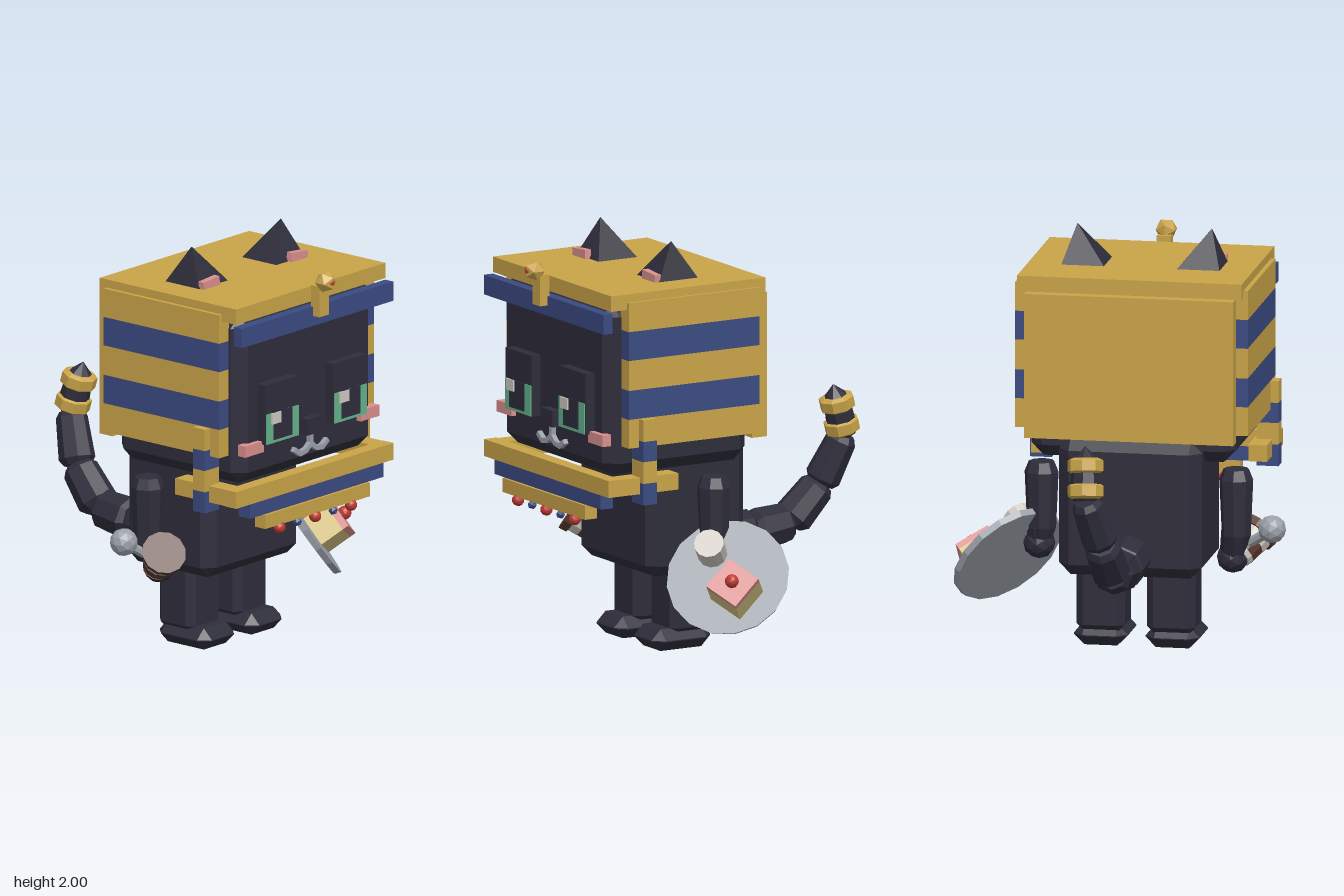
import * as THREE from 'three';
import { ConvexGeometry } from 'three/addons/geometries/ConvexGeometry.js';

const mat = (name, color) => {
  const m = new THREE.MeshStandardMaterial({ color });
  m.name = name;
  return m;
};
const V = (x, y, z) => new THREE.Vector3(x, y, z);
const CX = -0.085; // symmetry plane of the figure

export function createModel() {
  const fur = mat('dark fur', 0x2e2d3b), gold = mat('gold', 0xc9a449), blue = mat('blue', 0x3b4b82);
  const pink = mat('pink', 0xda908d), green = mat('green', 0x64b48b), white = mat('cream white', 0xcfcac2);
  const grey = mat('grey', 0x9ba0a9), brown = mat('brown', 0x5c3a2e), red = mat('red', 0xbb3a30);
  const sponge = mat('sponge yellow', 0xd8c483);

  const model = new THREE.Group();
  model.name = 'catFigure';
  const group = (name, parent = model) => {
    const g = new THREE.Group();
    g.name = name;
    parent.add(g);
    return g;
  };
  const add = (name, geo, material, parent) => {
    const mesh = new THREE.Mesh(geo, material);
    mesh.name = name;
    parent.add(mesh);
    return mesh;
  };
  const flat = (geo) => {
    const g = geo.index ? geo.toNonIndexed() : geo;
    g.computeVertexNormals();
    return g;
  };
  // Box given by its limits on each axis
  const box = (name, m, p, x0, x1, y0, y1, z0, z1) => {
    const mesh = add(name, new THREE.BoxGeometry(x1 - x0, y1 - y0, z1 - z0), m, p);
    mesh.position.set((x0 + x1) / 2, (y0 + y1) / 2, (z0 + z1) / 2);
    return mesh;
  };
  // Box with all edges chamfered by c
  const chamferBox = (name, m, p, x0, x1, y0, y1, z0, z1, c) => {
    const h = [(x1 - x0) / 2, (y1 - y0) / 2, (z1 - z0) / 2], pts = [];
    for (const sx of [-1, 1]) for (const sy of [-1, 1]) for (const sz of [-1, 1]) {
      for (let k = 0; k < 3; k++) {
        const q = h.map((v, i) => (i === k ? v : v - c));
        pts.push(V(q[0] * sx, q[1] * sy, q[2] * sz));
      }
    }
    const mesh = add(name, new ConvexGeometry(pts), m, p);
    mesh.position.set((x0 + x1) / 2, (y0 + y1) / 2, (z0 + z1) / 2);
    return mesh;
  };
  // Faceted rod between two points, with bevelled ends
  const rod = (name, m, p, a, b, ra, rb, bevel = 0.03, sides = 8) => {
    const len = a.distanceTo(b);
    const profile = [[0, 0], [ra * 0.75, 0], [ra, bevel], [rb, len - bevel], [rb * 0.75, len], [0, len]];
    const geo = new THREE.LatheGeometry(profile.map(([r, y]) => new THREE.Vector2(r, y)), sides);
    const mesh = add(name, flat(geo), m, p);
    mesh.position.copy(a);
    mesh.quaternion.setFromUnitVectors(V(0, 1, 0), b.clone().sub(a).normalize());
    return mesh;
  };
  const ball = (name, m, p, x, y, z, r, detail = 1) => {
    const mesh = add(name, flat(new THREE.IcosahedronGeometry(r, detail)), m, p);
    mesh.position.set(x, y, z);
    return mesh;
  };

  // Body, legs and feet
  chamferBox('body', fur, model, -0.43, 0.26, 0.375, 1.04, -0.14, 0.405, 0.055);
  for (const s of [-1, 1]) {
    const x = CX + s * 0.17, f = CX + s * 0.173;
    chamferBox('leg', fur, model, x - 0.117, x + 0.117, 0.07, 0.42, 0.02, 0.245, 0.035);
    chamferBox('foot', fur, model, f - 0.13, f + 0.13, 0, 0.105, 0.02, 0.345, 0.05);
  }

  // Head
  const head = group('head');
  chamferBox('skull', fur, head, -0.58, 0.41, 0.93, 1.76, -0.06, 0.73, 0.06);
  for (const s of [-1, 1]) {
    // Ears: four-sided pyramids leaning outward
    const y = 1.81, xi = CX + s * 0.168, xo = CX + s * 0.385;
    add('ear', new ConvexGeometry([V(xi, y, 0.16), V(xo, y, 0.16), V(xo, y, 0.385), V(xi, y, 0.385),
      V(CX + s * 0.325, 2, 0.28)]), fur, head);
    const ex = CX + s * 0.32;
    const inner = box('innerEar', pink, head, ex - 0.058, ex + 0.058, 1.81, 1.86, 0.37, 0.403);
    inner.rotation.z = -s * 0.08;
    // Eyes: dark surround, iris, pupil and highlight
    const x = CX + s * 0.247;
    box('eyeSurround', fur, head, x - 0.119, x + 0.119, 1.12, 1.415, 0.7, 0.78);
    box('iris', green, head, x - 0.117, x + 0.117, 1.122, 1.27, 0.78, 0.786);
    box('pupil', fur, head, x - 0.07, x + 0.065, 1.137, 1.272, 0.785, 0.79);
    box('eyeHighlight', white, head, x - 0.088, x - 0.022, 1.218, 1.272, 0.788, 0.797);
    const cx = CX + s * 0.42;
    box('cheek', pink, head, cx - 0.067, cx + 0.067, 1.08, 1.135, 0.71, 0.757);
    // Mouth curve on each side
    const curve = [[0, 1.048], [0.035, 1.02], [0.08, 1.012], [0.12, 1.04]];
    for (let i = 0; i < 3; i++) {
      const [ax, ay] = curve[i], [bx, by] = curve[i + 1];
      const line = box('mouth', grey, head, -0.027, 0.027, -0.012, 0.012, 0.72, 0.755);
      line.position.x = CX + s * (ax + bx) / 2;
      line.position.y = (ay + by) / 2;
      line.rotation.z = s * Math.atan2(by - ay, bx - ax);
    }
  }
  box('nose', fur, head, CX - 0.055, CX + 0.055, 1.1, 1.18, 0.7, 0.775);
  box('mouthLine', grey, head, CX - 0.011, CX + 0.011, 1.035, 1.1, 0.72, 0.754);

  // Striped headdress
  const dress = group('headdress');
  box('headdressTop', gold, dress, -0.625, 0.46, 1.745, 1.82, -0.11, 0.745);
  box('headdressBack', gold, dress, -0.59, 0.42, 1.04, 1.74, -0.142, -0.06);
  box('browBand', blue, dress, -0.635, 0.465, 1.64, 1.735, 0.74, 0.79);
  for (const s of [-1, 1]) {
    const span = (a, b) => [CX + s * a, CX + s * b].sort((u, v) => u - v);
    const levels = [1.075, 1.215, 1.355, 1.5, 1.64, 1.78];
    for (let i = 0; i < 5; i++) {
      box('sideStripe', i % 2 ? blue : gold, dress, ...span(0.49, 0.562), levels[i], levels[i + 1], -0.067, 0.658);
    }
    const drop = [0.8, 0.905, 1.01, 1.108, 1.213];
    for (let i = 0; i < 4; i++) {
      box('lappet', i % 2 ? gold : blue, dress, ...span(0.495, 0.6), drop[i], drop[i + 1], 0.525, 0.6);
    }
    box('collarSide', gold, dress, ...span(0.48, 0.57), 0.85, 0.93, 0.388, 0.71);
  }

  // Collar with hanging beads
  box('collarFront', gold, dress, -0.66, 0.485, 0.85, 0.932, 0.705, 0.775);
  box('collarMiddle', blue, dress, -0.56, 0.41, 0.78, 0.85, 0.705, 0.775);
  box('collarLower', gold, dress, -0.465, 0.295, 0.712, 0.78, 0.725, 0.79);
  for (let i = 0; i < 5; i++) {
    ball('bead', i % 2 ? blue : red, dress, CX + (i - 2) * 0.13, 0.693, 0.775, i % 2 ? 0.023 : 0.03, i % 2 ? 0 : 1);
  }

  // Brow ornament
  box('ornamentStem', gold, dress, CX - 0.035, CX + 0.035, 1.69, 1.84, 0.78, 0.832);
  ball('ornament', gold, dress, CX, 1.86, 0.842, 0.055, 0).scale.y = 0.95;
  ball('ornamentGem', red, dress, CX, 1.862, 0.872, 0.02);

  // Arms and hands
  for (const s of [-1, 1]) {
    const x = CX + s * 0.47;
    rod('upperArm', fur, model, V(x, 0.5, 0.13), V(x, 0.87, 0.13), 0.07, 0.082, 0.05);
    const hand = s > 0 ? V(0.4, 0.47, 0.15) : V(-0.53, 0.43, 0.18);
    rod('forearm', fur, model, V(x, 0.58, 0.13), hand, 0.07, 0.065, 0.02);
    ball('hand', fur, model, hand.x, hand.y, hand.z, 0.078);
  }

  // Banded cup in the right hand, brim tipped forward and outward
  const cup = group('cup');
  cup.position.set(-0.55, 0.435, 0.185);
  cup.quaternion.setFromUnitVectors(V(0, 1, 0), V(-0.47, 0.6, 0.65).normalize());
  [[0, 0.025, 0.075, white], [0.025, 0.09, 0.082, brown], [0.09, 0.14, 0.09, white], [0.14, 0.18, 0.107, brown]]
    .forEach(([y0, y1, r, m]) => {
      add('cupBand', flat(new THREE.CylinderGeometry(r, r - 0.006, y1 - y0, 12)), m, cup).position.y = (y0 + y1) / 2;
    });
  ball('knob', grey, model, -0.728, 0.583, 0.13, 0.068);
  rod('knobStem', grey, model, V(-0.58, 0.48, 0.19), V(-0.72, 0.575, 0.135), 0.025, 0.025, 0.01);

  // Plate beside the left hand; local y is the plate's face
  const tray = group('plateWithTreats');
  const n = V(0.62, 0.57, 0.54).normalize();
  const b = V(0, -0.69, 0.73);
  b.addScaledVector(n, -b.dot(n)).normalize();
  const a = n.clone().cross(b);
  tray.quaternion.setFromRotationMatrix(new THREE.Matrix4().makeBasis(a, n, b));
  tray.position.set(0.55, 0.405, 0.15);
  const local = (x, y, z) => {
    const d = V(x, y, z).sub(tray.position);
    return [d.dot(a), d.dot(b)];
  };
  add('plate', flat(new THREE.CylinderGeometry(0.295, 0.285, 0.03, 16)), grey, tray);
  const [cx, cz] = local(0.74, 0.435, 0.245);
  box('cake', sponge, tray, cx - 0.09, cx + 0.09, 0.01, 0.14, cz - 0.088, cz + 0.088);
  box('icing', pink, tray, cx - 0.09, cx + 0.09, 0.14, 0.172, cz - 0.088, cz + 0.088);
  ball('berry', red, tray, cx, 0.188, cz, 0.034);
  const [mx, mz] = local(0.5, 0.555, 0.22);
  add('marshmallow', flat(new THREE.CylinderGeometry(0.072, 0.072, 0.13, 12)), white, tray).position.set(mx, 0.075, mz);

  // Tail of bevelled segments with two gold rings
  const tail = group('tail');
  const path = [V(CX, 0.48, -0.1), V(CX, 0.465, -0.36), V(CX, 0.49, -0.57), V(-0.065, 0.665, -0.73),
    V(-0.005, 0.9, -0.825), V(0.005, 1.09, -0.775)];
  const radii = [0.112, 0.108, 0.098, 0.088, 0.076, 0.066];
  for (let i = 0; i < 5; i++) {
    rod('tailSegment', fur, tail, path[i], path[i + 1], radii[i], radii[i + 1], 0.03);
  }
  const dir = path[5].clone().sub(path[4]).normalize();
  for (const t of [0.01, 0.13]) {
    const p = path[4].clone().addScaledVector(dir, t);
    rod('tailRing', gold, tail, p, p.clone().addScaledVector(dir, 0.075), 0.086, 0.086, 0.012);
  }
  const tip = add('tailTip', flat(new THREE.ConeGeometry(0.068, 0.07, 8)), fur, tail);
  tip.position.copy(path[5]).addScaledVector(dir, 0.03);
  tip.quaternion.setFromUnitVectors(V(0, 1, 0), dir);

  return model;
}
